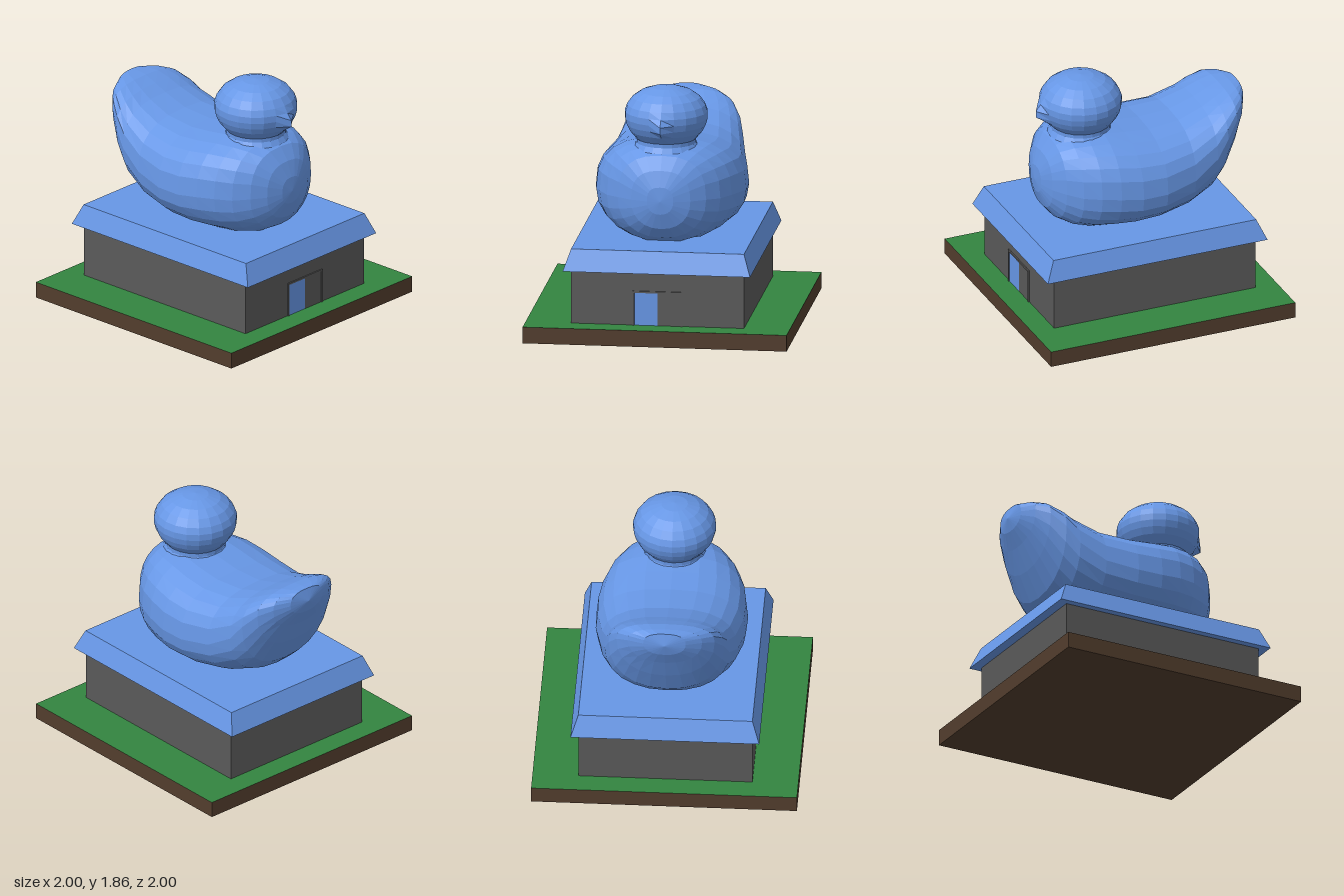
import * as THREE from 'three';

const mat = (color) => new THREE.MeshStandardMaterial({ color, flatShading: true });
const blue = mat(0x6797e6), grey = mat(0x5a5a5a), brown = mat(0x523d2d), green = mat(0x338540);

function add(parent, name, geometry, material, x = 0, y = 0, z = 0) {
  const mesh = new THREE.Mesh(geometry, material);
  mesh.name = name;
  mesh.position.set(x, y, z);
  parent.add(mesh);
  return mesh;
}

// Duck body sections along x: [x, bottom, height of widest point, top, half width]
const SECTIONS = [
  [-0.968, 1.48, 1.48, 1.48, 0], [-0.94, 1.38, 1.48, 1.575, 0.16], [-0.88, 1.26, 1.46, 1.575, 0.28],
  [-0.8, 1.08, 1.41, 1.565, 0.37], [-0.7, 0.88, 1.3, 1.525, 0.435], [-0.6, 0.79, 1.17, 1.48, 0.47],
  [-0.4, 0.71, 1.05, 1.415, 0.515], [-0.15, 0.67, 1.01, 1.4, 0.565], [0.05, 0.66, 1.01, 1.42, 0.57],
  [0.22, 0.66, 1.03, 1.44, 0.545], [0.36, 0.665, 1.04, 1.44, 0.5], [0.48, 0.69, 1.04, 1.425, 0.43],
  [0.58, 0.745, 1.05, 1.38, 0.335], [0.65, 0.83, 1.05, 1.28, 0.225], [0.69, 0.95, 1.05, 1.16, 0.1],
  [0.7, 1.05, 1.05, 1.05, 0],
];

function bodyGeometry() {
  const N = 24, positions = [], index = [];
  SECTIONS.forEach(([x, bottom, mid, top, w], i) => {
    for (let j = 0; j < N; j++) {
      const t = (j / N) * Math.PI * 2, c = Math.cos(t), s = Math.sin(t);
      const e = s > 0 ? 2 / 2.6 : 2 / 2.2; // squarer shoulders, rounder belly
      const z = w * Math.sign(c) * Math.abs(c) ** e;
      const h = Math.abs(s) ** e;
      // The belly is flattened where it rests on the roof
      const y = Math.max(0.7, s > 0 ? mid + (top - mid) * h : mid - (mid - bottom) * h);
      positions.push(x, y, z);
      if (i === SECTIONS.length - 1) continue;
      const k = (j + 1) % N, a = i * N + j, b = a + N, d = i * N + k, f = d + N;
      index.push(a, b, d, b, f, d);
    }
  });
  const g = new THREE.BufferGeometry();
  g.setAttribute('position', new THREE.Float32BufferAttribute(positions, 3));
  g.setIndex(index);
  g.computeVertexNormals();
  return g;
}

// Lathed neck and head; the foremost column of points is pulled out into the beak
function headGeometry() {
  const profile = [
    [0.25, 1.39], [0.225, 1.43], [0.225, 1.46], [0.275, 1.52], [0.3, 1.57], [0.313, 1.62],
    [0.313, 1.67], [0.295, 1.72], [0.255, 1.775], [0.19, 1.82], [0.1, 1.85], [0, 1.86],
  ].map(([r, y]) => new THREE.Vector2(r, y));
  const g = new THREE.LatheGeometry(profile, 20);
  const p = g.attributes.position;
  for (let i = 0; i < p.count; i++) {
    const y = p.getY(i);
    if (p.getX(i) > 0.2 && Math.abs(p.getZ(i)) < 0.01) {
      const reach = y > 1.56 && y < 1.63 ? 0.365 : y > 1.5 && y < 1.56 ? 0.29 : y > 1.63 && y < 1.69 ? 0.325 : 0;
      if (reach) p.setX(i, reach);
    }
  }
  g.computeVertexNormals();
  return g;
}

export function createModel() {
  const model = new THREE.Group();
  model.name = 'duckBuilding';

  // Ground slab: grass on top, soil on the other sides
  add(model, 'ground', new THREE.BoxGeometry(2, 0.125, 2), [brown, brown, green, brown, brown, brown], 0, 0.0625);

  // House
  const house = new THREE.Group();
  house.name = 'house';
  model.add(house);
  add(house, 'walls', new THREE.BoxGeometry(1.65, 0.415, 1.31), grey, 0, 0.3325);
  const roof = new THREE.CylinderGeometry(Math.SQRT2 * 0.9225, Math.SQRT2, 0.16, 4);
  roof.rotateY(Math.PI / 4);
  roof.scale(0.9, 1, 0.71);
  add(house, 'roof', roof, blue, 0, 0.62);

  // Doorway on the +x wall: frame, blue leaf and grey leaf
  for (const s of [-1, 1]) add(house, 'doorPost', new THREE.BoxGeometry(0.02, 0.265, 0.014), grey, 0.825, 0.2575, s * 0.183);
  add(house, 'doorLintel', new THREE.BoxGeometry(0.02, 0.014, 0.38), grey, 0.825, 0.383);
  add(house, 'doorLeaf', new THREE.BoxGeometry(0.01, 0.251, 0.176), blue, 0.823, 0.2505, 0.088);
  add(house, 'doorPanel', new THREE.BoxGeometry(0.01, 0.251, 0.176), grey, 0.823, 0.2505, -0.088);

  // Duck on the roof
  const duck = new THREE.Group();
  duck.name = 'duck';
  model.add(duck);
  add(duck, 'body', bodyGeometry(), blue);
  add(duck, 'head', headGeometry(), blue, 0.325);

  return model;
}
